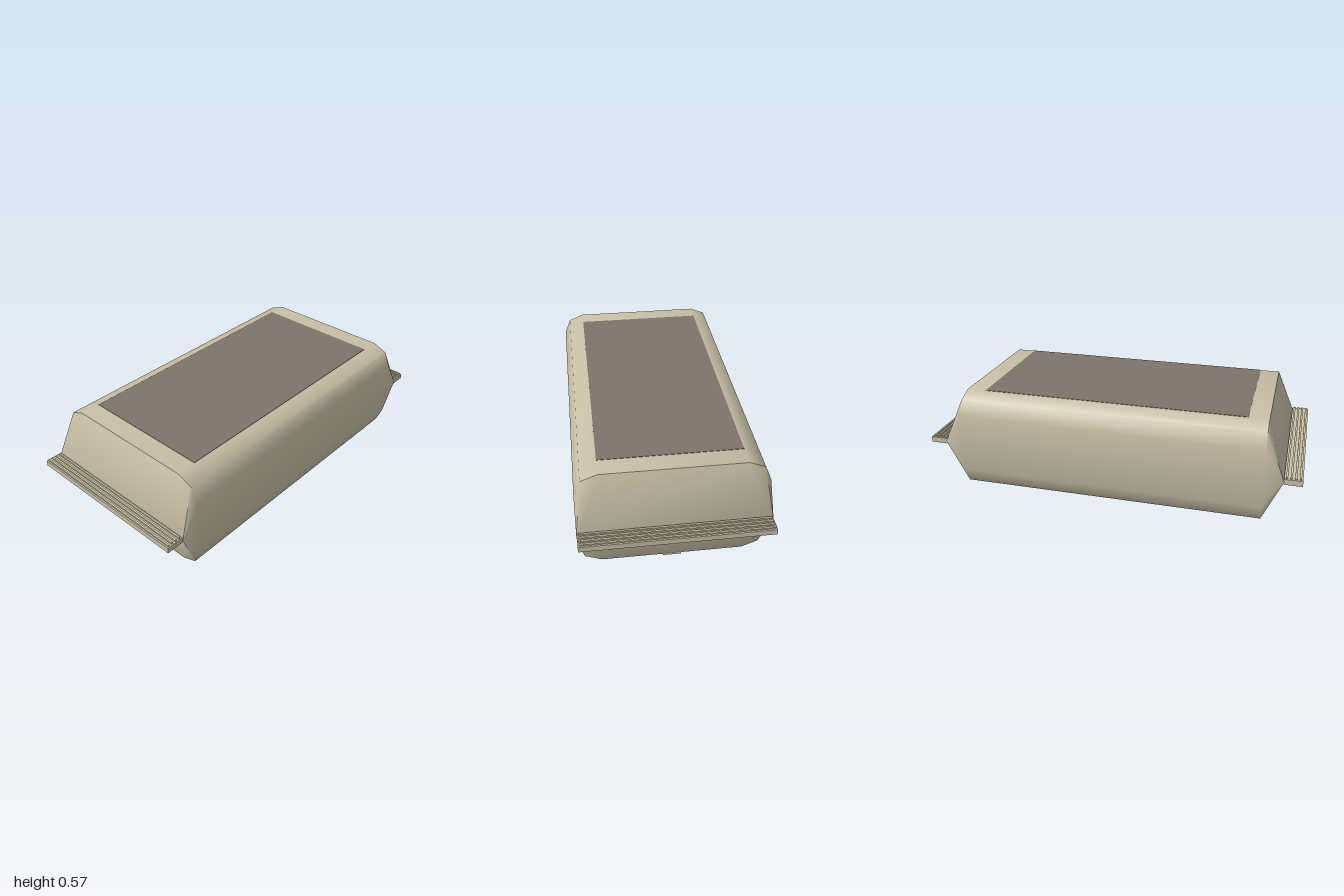
import * as THREE from 'three';
import { toCreasedNormals } from 'three/addons/utils/BufferGeometryUtils.js';

const wrapper = new THREE.MeshStandardMaterial({ color: 0xc8bfa6 });
const labelMaterial = new THREE.MeshStandardMaterial({ color: 0x7f746b });

const BODY_X = 0.81, SEAM_X = 0.91, SEAM_Y = 0.29, HALF_Z = 0.47;

// Chamfered cross-section as [z, y], going round from the top front edge
function section() {
  const top = [[0.355, 0.565], [0.437, 0.532], [HALF_Z, 0.45]];
  const front = [...top, ...top.map(([z, y]) => [z, 0.58 - y]).reverse()];
  return [...front, ...front.map(([z, y]) => [-z, y]).reverse()];
}

// Pouch: a straight tube whose ends pinch flat into a horizontal seam
function pouchGeometry() {
  const ring = section(), n = ring.length;
  const pinched = ring.map(([z]) => [Math.sign(z) * HALF_Z, SEAM_Y]);
  const loops = [
    [-SEAM_X, pinched], [-BODY_X, ring], [BODY_X, ring], [SEAM_X, pinched],
  ];
  const positions = [];
  const triangle = (a, b, c) => {
    const area = b.clone().sub(a).cross(c.clone().sub(a)).length();
    if (area > 1e-7) positions.push(...a, ...b, ...c);
  };
  for (let i = 0; i < loops.length - 1; i++) {
    for (let j = 0; j < n; j++) {
      const corner = (l, k) => {
        const [z, y] = loops[l][1][k % n];
        return new THREE.Vector3(loops[l][0], y, z);
      };
      const a = corner(i, j), b = corner(i, j + 1);
      const c = corner(i + 1, j + 1), d = corner(i + 1, j);
      triangle(a, b, c);
      triangle(a, c, d);
    }
  }
  const geometry = new THREE.BufferGeometry();
  geometry.setAttribute('position', new THREE.Float32BufferAttribute(positions, 3));
  return toCreasedNormals(geometry, THREE.MathUtils.degToRad(50));
}

function box(name, size, position, material = wrapper) {
  const mesh = new THREE.Mesh(new THREE.BoxGeometry(...size), material);
  mesh.name = name;
  mesh.position.set(...position);
  return mesh;
}

// Flat crimped end flap with raised ridges on its upper face
function endSeal(name, side) {
  const seal = new THREE.Group();
  seal.name = name;
  seal.add(box('sealFlap', [0.092, 0.03, 0.932], [side * 0.954, 0.29, 0]));
  for (let i = 0; i < 4; i++) {
    seal.add(box('sealRidge', [0.01, 0.01, 0.92], [side * (0.921 + i * 0.022), 0.308, 0]));
  }
  return seal;
}

export function createModel() {
  const model = new THREE.Group();
  model.name = 'wrappedPack';

  const pouch = new THREE.Mesh(pouchGeometry(), wrapper);
  pouch.name = 'pouch';
  model.add(pouch);

  // Label on top and the lengthwise seam strip underneath
  model.add(box('topLabel', [1.41, 0.004, 0.708], [0, 0.565, 0], labelMaterial));
  model.add(box('bottomSeam', [1.61, 0.018, 0.094], [0, 0.009, 0]));

  model.add(endSeal('leftSeal', 1), endSeal('rightSeal', -1));
  return model;
}
